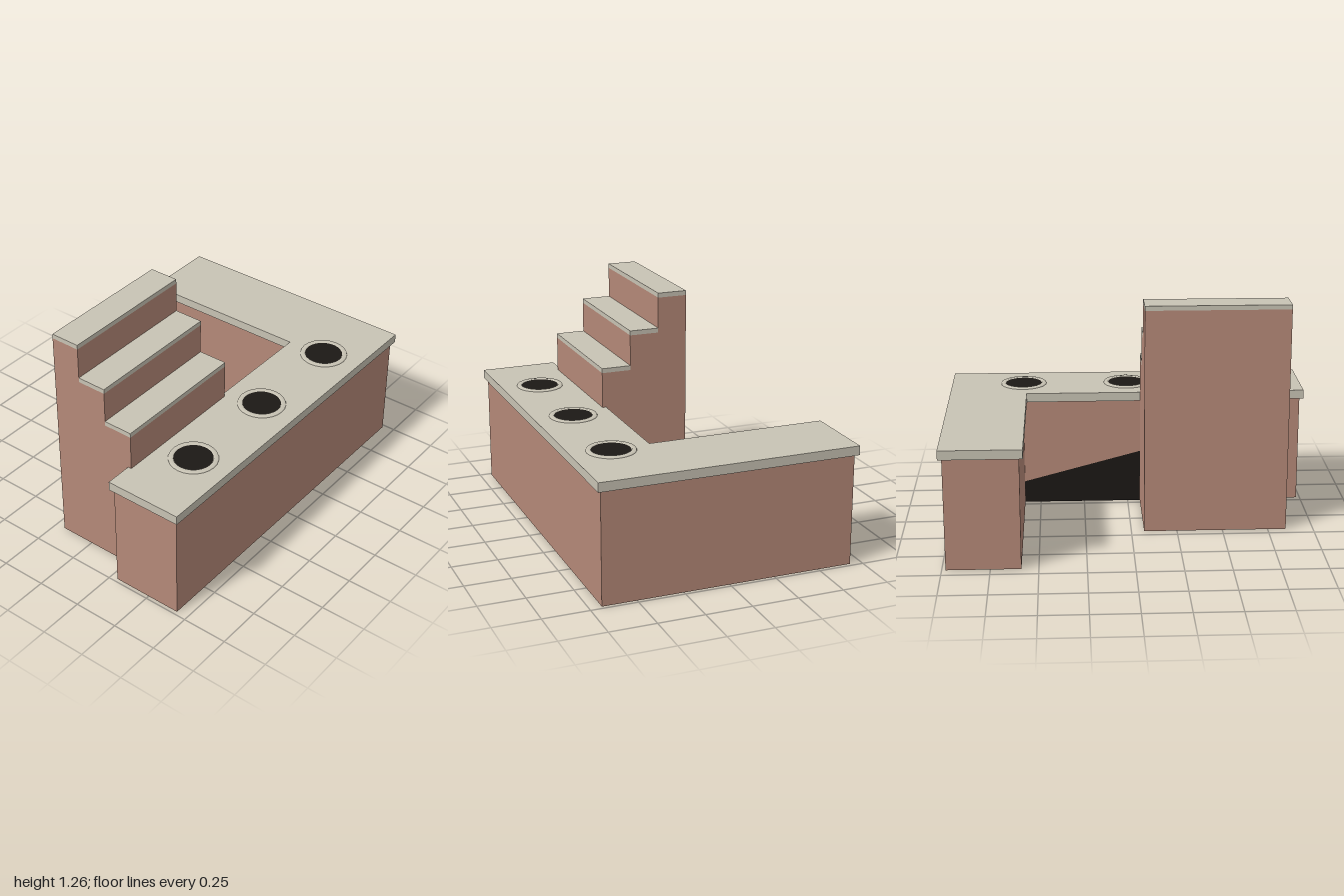
import * as THREE from 'three';

const mat = (color, side = THREE.FrontSide) => {
  const m = new THREE.MeshStandardMaterial({ side });
  m.color.set(color);
  return m;
};

export function createModel() {
  const group = new THREE.Group();
  const wall = mat(0xb58978), stone = mat(0xc8c3b4), dark = mat(0x1c1815, THREE.DoubleSide);

  const add = (name, geometry, material, x = 0, y = 0, z = 0) => {
    const mesh = new THREE.Mesh(geometry, material);
    mesh.name = name;
    mesh.position.set(x, y, z);
    group.add(mesh);
    return mesh;
  };

  // L-shaped slab: a front bar with an arm running back on the left side
  const slab = (halfX, halfZ, armX, barZ, height) => {
    const shape = new THREE.Shape([
      [-halfX, -halfZ], [halfX, -halfZ], [halfX, halfZ],
      [armX, halfZ], [armX, -barZ], [-halfX, -barZ],
    ].map(([x, y]) => new THREE.Vector2(x, y)));
    return new THREE.ExtrudeGeometry(shape, { depth: height, bevelEnabled: false }).rotateX(-Math.PI / 2);
  };
  add('counterBase', slab(0.98, 0.685, 0.59, 0.29, 0.605), wall);
  add('countertop', slab(1, 0.703, 0.57, 0.274, 0.05), stone, 0, 0.605, 0);

  // Stepped display: columns to the floor, each with a thin stone cap
  const stepDepth = 0.163, stepWidth = 0.78, cap = 0.025;
  for (let i = 0; i < 3; i++) {
    const top = 0.875 + i * 0.195;
    const z = 0.294 - (i + 0.5) * stepDepth;
    add('stepBody', new THREE.BoxGeometry(stepWidth, top - cap, stepDepth), wall, -0.46, (top - cap) / 2, z);
    add('stepCap', new THREE.BoxGeometry(stepWidth, cap, stepDepth), stone, -0.46, top - cap / 2, z);
  }

  // Three round wells with raised rims
  const rimProfile = [[0.13, 0], [0.128, 0.006], [0.106, 0.008], [0.102, 0.001]]
    .map(([r, y]) => new THREE.Vector2(r, y));
  for (const x of [-0.59, 0, 0.59]) {
    const rim = new THREE.LatheGeometry(rimProfile, 24);
    const rimMaterial = mat(0xc8c3b4, THREE.DoubleSide);
    add('wellRim', rim, rimMaterial, x, 0.655, 0.487);
    add('wellOpening', new THREE.CircleGeometry(0.104, 16).rotateX(-Math.PI / 2), dark, x, 0.658, 0.487);
  }

  // Dark slanted panel low on the inner wall of the bar
  const panel = new THREE.Shape([[-0.07, 0], [0.59, 0], [0.59, 0.125], [-0.07, 0.3]]
    .map(([x, y]) => new THREE.Vector2(x, y)));
  add('innerPanel', new THREE.ShapeGeometry(panel), dark, 0, 0, 0.288);

  return group;
}
